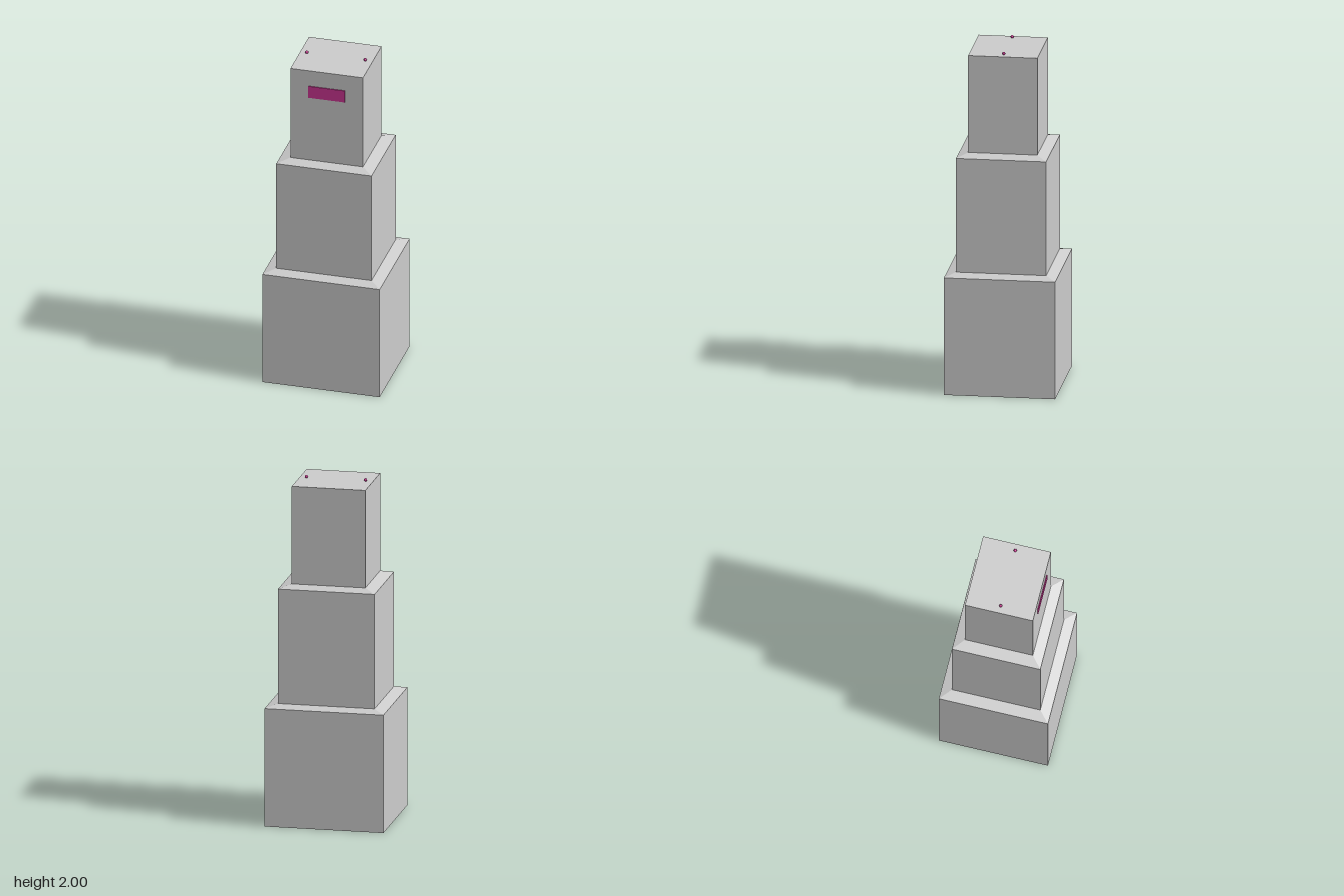
import * as THREE from 'three';

// Stacked rectangular cross-sections [halfWidth, y, halfDepth] joined by flat walls, with optional caps
function loft(rings, capBottom, capTop) {
  const pos = [];
  const corners = ([w, y, d]) => [[-w, y, d], [w, y, d], [w, y, -d], [-w, y, -d]];
  const quad = (a, b, c, d) => pos.push(...a, ...b, ...c, ...a, ...c, ...d);
  const loops = rings.map(corners);
  for (let r = 0; r < loops.length - 1; r++) {
    const lo = loops[r], hi = loops[r + 1];
    for (let i = 0; i < 4; i++) {
      const j = (i + 1) % 4;
      quad(lo[i], lo[j], hi[j], hi[i]);
    }
  }
  if (capBottom) quad(...loops[0].slice().reverse());
  if (capTop) quad(...loops[loops.length - 1]);
  const geometry = new THREE.BufferGeometry();
  geometry.setAttribute('position', new THREE.Float32BufferAttribute(pos, 3));
  geometry.computeVertexNormals();
  return geometry;
}

export function createModel() {
  const model = new THREE.Group();
  model.name = 'steppedTower';

  const grey = new THREE.MeshStandardMaterial({ color: 0xcccccc });
  grey.name = 'light grey';
  const magenta = new THREE.MeshStandardMaterial({ color: 0xcc3693 });
  magenta.name = 'magenta';

  const add = (name, geometry, material, x = 0, y = 0, z = 0) => {
    const mesh = new THREE.Mesh(geometry, material);
    mesh.name = name;
    mesh.position.set(x, y, z);
    model.add(mesh);
  };

  // Three tiers, the lower two closing in with a shallow sloped shoulder
  const tiers = [
    { name: 'lowerTier', w: 0.347, d: 0.32, y0: 0, y1: 0.695 },
    { name: 'middleTier', w: 0.282, d: 0.259, y0: 0.713, y1: 1.388 },
    { name: 'upperTier', w: 0.215, d: 0.199, y0: 1.407, y1: 1.982 },
  ];
  tiers.forEach(({ name, w, d, y0, y1 }, i) => {
    const rings = [[w, y0, d], [w, y1, d]];
    const next = tiers[i + 1];
    if (next) rings.push([next.w, next.y0, next.d]);
    add(name, loft(rings, i === 0, !next), grey);
  });

  // Thin panel on the upper front
  add('frontPanel', new THREE.BoxGeometry(0.216, 0.074, 0.008), magenta, 0, 1.847, 0.2);

  // Pair of small beads on the roof
  for (const [name, side] of [['leftBead', 1], ['rightBead', -1]]) {
    add(name, new THREE.SphereGeometry(0.009, 16, 12), magenta, side * 0.173, 1.991, 0);
  }

  return model;
}
